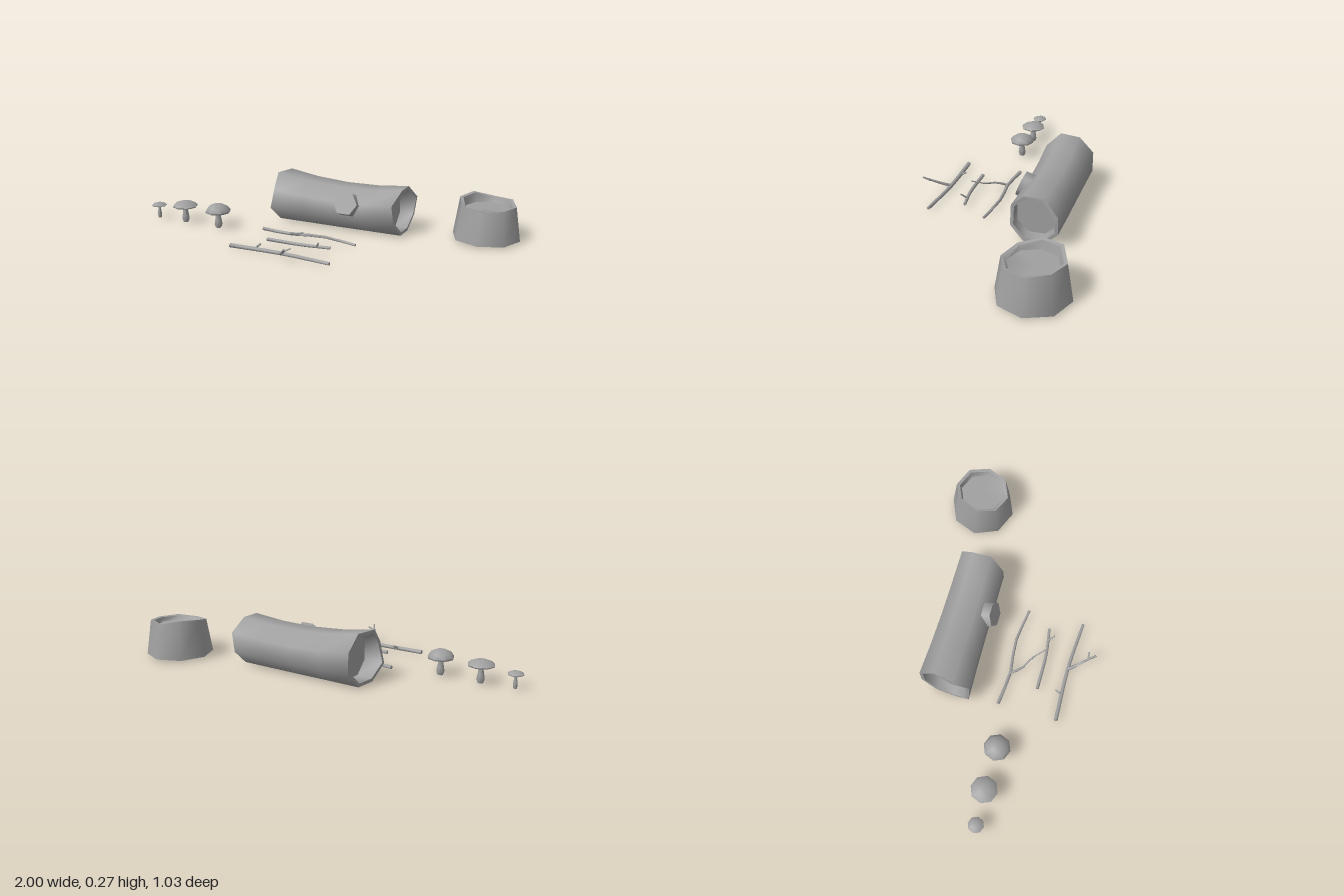
import * as THREE from 'three';
import { toCreasedNormals } from 'three/addons/utils/BufferGeometryUtils.js';

const grey = new THREE.MeshStandardMaterial({ color: 0xa0a0a0, side: THREE.DoubleSide });
grey.name = 'grey';
const V = (x, y, z) => new THREE.Vector3(x, y, z);

// Skin over a list of closed rings with equal point counts
function loft(rings, crease = 0.95) {
  const n = rings[0].length, index = [];
  for (let j = 0; j < rings.length - 1; j++) {
    for (let i = 0; i < n; i++) {
      const a = j * n + i, b = j * n + (i + 1) % n;
      index.push(a, b, b + n, a, b + n, a + n);
    }
  }
  const g = new THREE.BufferGeometry().setFromPoints(rings.flat());
  g.setIndex(index);
  return toCreasedNormals(g, crease);
}

function add(parent, name, geometry) {
  const mesh = new THREE.Mesh(geometry, grey);
  mesh.name = name;
  parent.add(mesh);
  return mesh;
}

function group(parent, name) {
  const g = new THREE.Group();
  g.name = name;
  parent.add(g);
  return g;
}

const eight = [0, 1, 2, 3, 4, 5, 6, 7];

// Fallen log along x: sagging octagonal trunk with ragged, recessed ends
function buildLog(parent) {
  const log = group(parent, 'log');
  // End x per corner, from upper back over the top, front and underside
  const leftX = [-0.31, -0.315, -0.34, -0.325, -0.35, -0.33, -0.32, -0.31];
  const rightX = [0.425, 0.40, 0.40, 0.37, 0.385, 0.40, 0.40, 0.41];
  // Cross-section: centre height, half height, half depth
  const sections = [
    [0.145, 0.135, 0.136], [0.132, 0.122, 0.130], [0.126, 0.116, 0.127],
    [0.128, 0.117, 0.126], [0.137, 0.125, 0.125],
  ];
  const ring = ([cy, ry, rz], xAt, s = 1) => eight.map((i) => {
    const a = (i + 0.5) * Math.PI / 4, k = s / Math.cos(Math.PI / 8);
    return V(xAt(i), cy + Math.sin(a) * ry * k, -0.217 - Math.cos(a) * rz * k);
  });
  const left = (i) => leftX[i], right = (i) => rightX[i];
  const A = sections[0], B = sections[4];
  const rings = sections.map((s, j) => ring(s, (i) => THREE.MathUtils.lerp(leftX[i], rightX[i], j / 4)));
  add(log, 'trunk', loft([
    ring(A, () => -0.25, 0), ring(A, () => -0.25, 0.82), ring(A, left, 0.87),
    ...rings,
    ring(B, right, 0.87), ring(B, () => 0.335, 0.82), ring(B, () => 0.335, 0),
  ].map((r) => r.reverse())));

  // Cut branch stub tilted upwards on the front
  const stub = add(log, 'branchStub', toCreasedNormals(new THREE.CylinderGeometry(0.07, 0.078, 0.10, 6), 1.1));
  stub.geometry.rotateY(Math.PI / 6);
  stub.geometry.scale(1, 1, 0.92);
  stub.rotation.x = Math.PI / 2 - 0.38;
  stub.position.set(0.115, 0.161, -0.113);
}

// Tree stump: open-bottomed octagonal wall with an uneven rim around a sunken top
function buildStump(parent) {
  const rimY = [0.2, 0.21, 0.205, 0.23, 0.222, 0.2, 0.19, 0.198];
  const ring = (r, yAt) => eight.map((i) => {
    const a = i * Math.PI / 4;
    return V(0.815 + Math.cos(a) * r, yAt(i), -0.337 - Math.sin(a) * r);
  });
  add(parent, 'stump', loft([
    ring(0.18, () => 0.018), ring(0.15, (i) => rimY[i]), ring(0.132, (i) => rimY[i] - 0.003),
    ring(0.122, () => 0.175), ring(0, () => 0.175),
  ]));
}

// Mushroom: domed eight-sided cap on a bulging stem
function buildMushroom(parent, x, z, base, rim, top, capR, stemR) {
  const m = group(parent, 'mushroom');
  m.position.set(x, 0, z);
  const h = top - rim;
  const lathe = (pts) => toCreasedNormals(
    new THREE.LatheGeometry(pts.map(([r, y]) => new THREE.Vector2(r, y)), 8), 0.95);
  add(m, 'cap', lathe([
    [0, rim], [capR * 0.6, rim - h * 0.15], [capR * 0.95, rim - h * 0.1], [capR, rim + h * 0.1],
    [capR * 0.78, rim + h * 0.58], [capR * 0.4, rim + h * 0.9], [0, top],
  ]));
  const s = rim - base;
  add(m, 'stem', lathe([
    [0, base], [stemR * 0.7, base], [stemR, base + s * 0.2], [stemR * 0.85, base + s * 0.45],
    [stemR * 0.65, base + s * 0.7], [stemR * 0.7, rim],
  ]));
}

// Tapered six-sided twig through a few points, closed at both ends
function addTwig(parent, name, pts, r0, r1) {
  const curve = new THREE.CatmullRomCurve3(pts.map((p) => V(...p)));
  const steps = pts.length > 2 ? 6 : 1;
  const frames = curve.computeFrenetFrames(steps);
  const ring = (j, k) => [0, 1, 2, 3, 4, 5].map((i) => {
    const a = i * Math.PI / 3, r = k * THREE.MathUtils.lerp(r0, r1, j / steps);
    return curve.getPointAt(j / steps)
      .addScaledVector(frames.normals[j], Math.cos(a) * r)
      .addScaledVector(frames.binormals[j], Math.sin(a) * r);
  });
  const rings = [ring(0, 0)];
  for (let j = 0; j <= steps; j++) rings.push(ring(j, 1));
  rings.push(ring(steps, 0));
  add(parent, name, loft(rings, 1.1));
}

function buildTwigs(parent) {
  const back = group(parent, 'backTwig');
  addTwig(back, 'stick', [[-0.31, 0.018, 0.068], [-0.13, 0.02, 0.087], [0.04, 0.026, 0.068], [0.25, 0.018, 0.094]], 0.01, 0.007);
  addTwig(back, 'branch', [[-0.13, 0.022, 0.087], [-0.095, 0.045, 0.14], [-0.03, 0.066, 0.182], [0.025, 0.098, 0.243]], 0.007, 0.003);

  const middle = group(parent, 'middleTwig');
  addTwig(middle, 'stick', [[-0.18, 0.033, 0.25], [0.03, 0.033, 0.248], [0.17, 0.033, 0.228]], 0.01, 0.008);
  addTwig(middle, 'branch', [[0.1, 0.033, 0.238], [0.125, 0.065, 0.268]], 0.006, 0.004);

  const front = group(parent, 'frontTwig');
  addTwig(front, 'stick', [[-0.32, 0.022, 0.388], [-0.02, 0.023, 0.382], [0.25, 0.022, 0.403]], 0.012, 0.009);
  addTwig(front, 'branch', [[-0.025, 0.024, 0.385], [0.015, 0.055, 0.44], [0.062, 0.098, 0.51]], 0.009, 0.005);
  addTwig(front, 'offshoot', [[0.035, 0.073, 0.475], [0.075, 0.092, 0.47]], 0.005, 0.004);
  addTwig(front, 'offshoot', [[-0.178, 0.022, 0.386], [-0.163, 0.042, 0.347]], 0.007, 0.005);
}

export function createModel() {
  const model = new THREE.Group();
  model.name = 'forestFloorSet';
  buildLog(model);
  buildStump(model);
  buildMushroom(model, -0.56, 0.133, 0.008, 0.1, 0.145, 0.071, 0.022);
  buildMushroom(model, -0.783, 0.128, 0.008, 0.1, 0.13, 0.071, 0.021);
  buildMushroom(model, -0.96, 0.135, 0.01, 0.083, 0.1, 0.042, 0.012);
  buildTwigs(model);
  return model;
}
